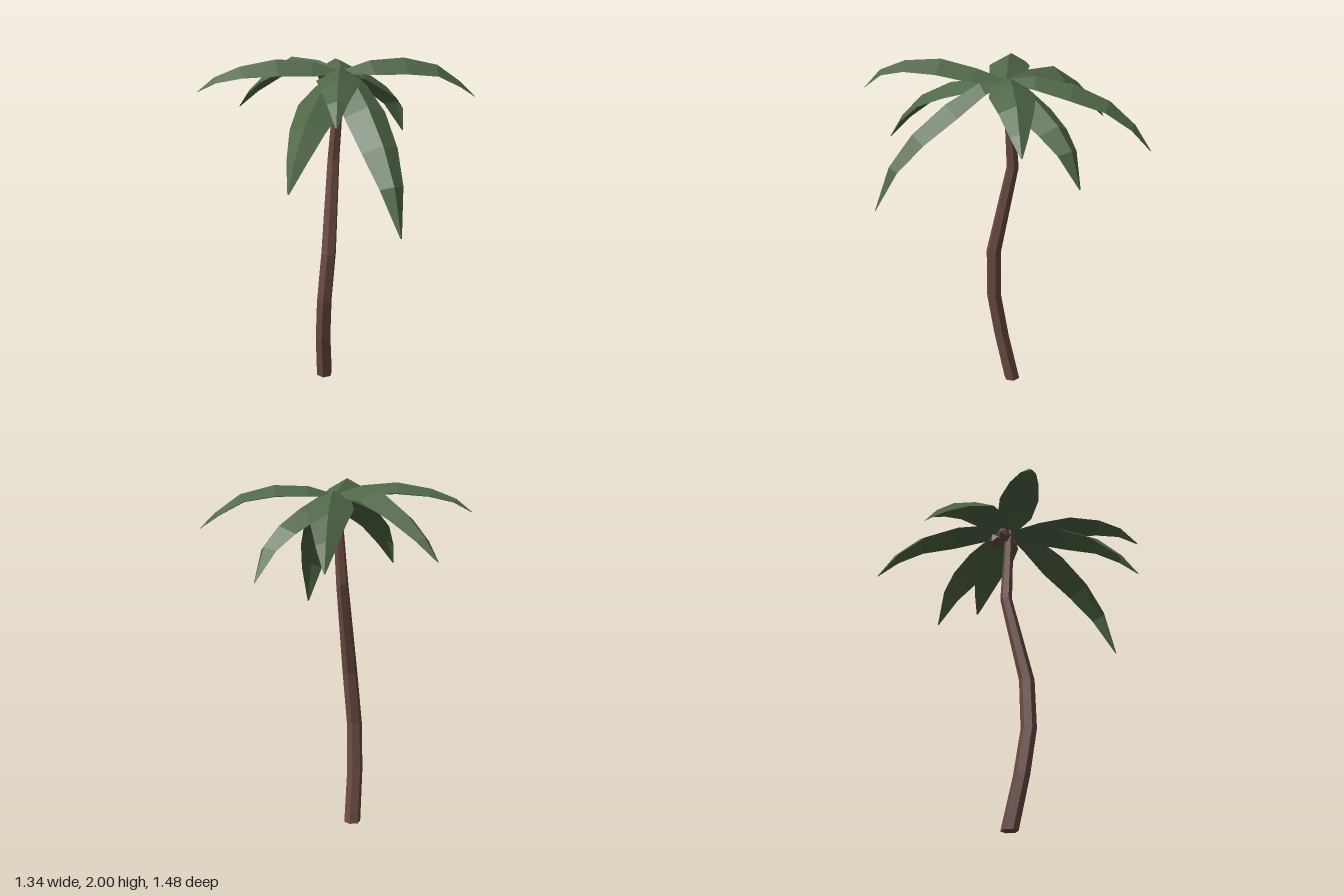
import * as THREE from 'three';

const bark = new THREE.MeshStandardMaterial({ color: 0x6b4a43, flatShading: true });
bark.name = 'barkBrown';
const leaf = new THREE.MeshStandardMaterial({ color: 0x506747, flatShading: true, side: THREE.DoubleSide });
leaf.name = 'leafGreen';

// Trunk rings: x, y, z of the centre and radius
const RINGS = [
  [-0.065, 0, -0.04, 0.048], [-0.112, 0.3, 0.005, 0.046], [-0.133, 0.57, 0.043, 0.045],
  [-0.11, 0.87, 0.056, 0.044], [-0.013, 1.4, -0.011, 0.035], [0, 1.89, 0.03, 0.026],
];

// Fronds: tip x, tip z and ridge heights at the STEPS
const CROWN = new THREE.Vector3(0, 1.9, 0.04);
const STEPS = [0, 0.2, 0.45, 0.7, 0.88, 1];
const FRONDS = [
  [0.67, 0.40, [1.9, 1.945, 1.95, 1.9, 1.8, 1.71]],
  [0.465, -0.60, [1.9, 1.92, 1.88, 1.79, 1.66, 1.51]],
  [0.56, -0.04, [1.9, 1.89, 1.82, 1.73, 1.62, 1.43]],
  [-0.12, -0.74, [1.9, 1.93, 1.92, 1.8, 1.675, 1.555]],
  [-0.61, -0.42, [1.9, 1.95, 1.965, 1.93, 1.875, 1.8]],
  [-0.67, 0.41, [1.9, 1.89, 1.85, 1.755, 1.62, 1.48]],
  [-0.54, 0.61, [1.9, 1.955, 2.0, 1.985, 1.93, 1.83]],
  [-0.23, 0.74, [1.9, 1.89, 1.79, 1.64, 1.47, 1.23]],
];

// Half width of a frond along its length
const WIDTHS = [[0, 0.025], [0.18, 0.1], [0.38, 0.12], [0.6, 0.095], [0.8, 0.058], [1, 0.004]];
function halfWidth(a) {
  for (let i = 1; i < WIDTHS.length; i++) {
    const [a0, w0] = WIDTHS[i - 1], [a1, w1] = WIDTHS[i];
    if (a <= a1) return w0 + (w1 - w0) * (a - a0) / (a1 - a0);
  }
  return WIDTHS[WIDTHS.length - 1][1];
}

// Hexagonal column bent through the rings
function trunkGeometry() {
  const last = RINGS.length - 1;
  const g = new THREE.CylinderGeometry(1, 1, last, 6, last, false, 0.15);
  const p = g.attributes.position;
  for (let i = 0; i < p.count; i++) {
    const [x, y, z, r] = RINGS[Math.round(p.getY(i) + last / 2)];
    p.setXYZ(i, x + p.getX(i) * r, y, z + p.getZ(i) * r);
  }
  g.computeVertexNormals();
  return g;
}

// Folded leaf: a ridge with two sides drooping from it
function frondGeometry(tipX, tipZ, heights) {
  const ridge = STEPS.map((t, i) => new THREE.Vector3(
    CROWN.x + (tipX - CROWN.x) * t, heights[i], CROWN.z + (tipZ - CROWN.z) * t));
  const side = new THREE.Vector3(-(tipZ - CROWN.z), 0, tipX - CROWN.x).normalize();
  const along = [0];
  for (let i = 1; i < ridge.length; i++) along.push(along[i - 1] + ridge[i].distanceTo(ridge[i - 1]));
  const length = along[along.length - 1];

  const verts = [], index = [];
  ridge.forEach((c, i) => {
    const next = ridge[Math.min(i + 1, ridge.length - 1)], prev = ridge[Math.max(i - 1, 0)];
    const tangent = next.clone().sub(prev).normalize();
    const up = side.clone().cross(tangent).normalize();
    const w = halfWidth(along[i] / length);
    for (const s of [-1, 0, 1]) {
      const v = c.clone().addScaledVector(side, s * w).addScaledVector(up, -Math.abs(s) * w * 0.55);
      verts.push(v.x, v.y, v.z);
    }
    if (i === 0) return;
    for (const k of [0, 1]) {
      const a = (i - 1) * 3 + k, b = a + 3;
      index.push(a, a + 1, b, a + 1, b + 1, b);
    }
  });
  const g = new THREE.BufferGeometry();
  g.setAttribute('position', new THREE.Float32BufferAttribute(verts, 3));
  g.setIndex(index);
  g.computeVertexNormals();
  return g;
}

export function createModel() {
  const palm = new THREE.Group();
  palm.name = 'palmTree';
  const add = (name, geometry, material, parent = palm) => {
    const m = new THREE.Mesh(geometry, material);
    m.name = name;
    parent.add(m);
    return m;
  };

  add('trunk', trunkGeometry(), bark);

  const crown = new THREE.Group();
  crown.name = 'crown';
  palm.add(crown);
  FRONDS.forEach((f, i) => add(`frond${i + 1}`, frondGeometry(...f), leaf, crown));

  // Coconuts tucked under the fronds
  [[0.05, 1.83, -0.03], [-0.005, 1.845, -0.025], [0.045, 1.845, 0.085]].forEach((p, i) => {
    const nut = add(`coconut${i + 1}`, new THREE.IcosahedronGeometry(0.045, 0), bark, crown);
    nut.position.set(...p);
    nut.rotation.y = i * 1.3;
  });

  return palm;
}
